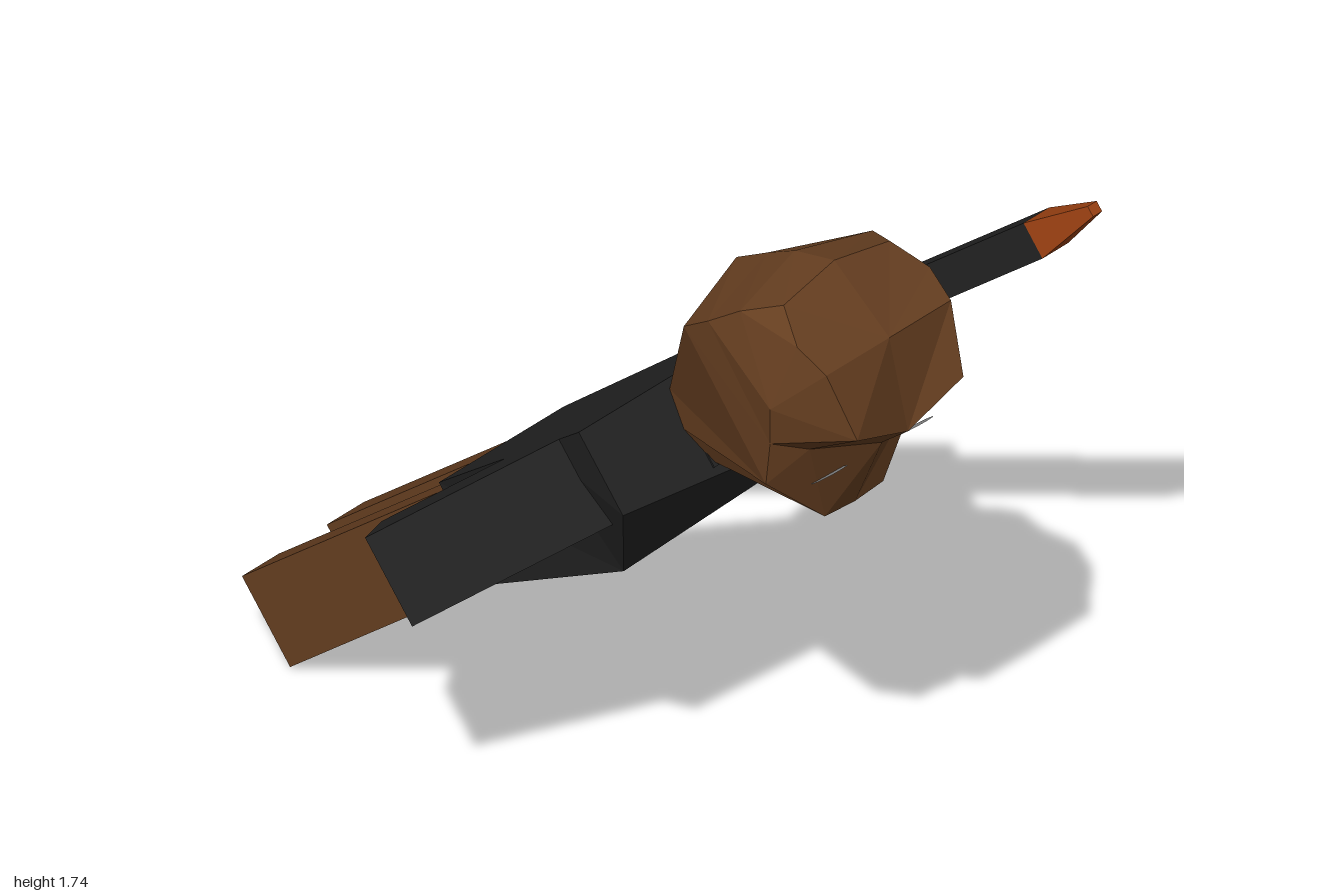
import * as THREE from 'three';

const paint = (color) => new THREE.MeshStandardMaterial({ color, flatShading: true });
const skin = paint(0x653e20);
const cloth = paint(0x222222);
const ember = paint(0x9c4112);
const eyeGrey = paint(0x8c8c8c);
const pupilBlue = paint(0x10107a);

// Faceted solid through matching rings (counter-clockwise seen from the last ring)
function loft(name, rings, material) {
  const pos = [];
  const tri = (a, b, c) => pos.push(...a, ...b, ...c);
  const n = rings[0].length;
  for (let i = 0; i < rings.length - 1; i++) {
    for (let j = 0; j < n; j++) {
      const k = (j + 1) % n;
      tri(rings[i][j], rings[i][k], rings[i + 1][k]);
      tri(rings[i][j], rings[i + 1][k], rings[i + 1][j]);
    }
  }
  const first = rings[0], last = rings[rings.length - 1];
  for (let j = 1; j < n - 1; j++) {
    tri(first[0], first[j + 1], first[j]);
    tri(last[0], last[j], last[j + 1]);
  }
  const geo = new THREE.BufferGeometry();
  geo.setAttribute('position', new THREE.Float32BufferAttribute(pos, 3));
  geo.computeVertexNormals();
  const mesh = new THREE.Mesh(geo, material);
  mesh.name = name;
  return mesh;
}

// Box given by its minimum and maximum corners
function box(name, [x0, y0, z0], [x1, y1, z1], material) {
  const mesh = new THREE.Mesh(new THREE.BoxGeometry(x1 - x0, y1 - y0, z1 - z0), material);
  mesh.position.set((x0 + x1) / 2, (y0 + y1) / 2, (z0 + z1) / 2);
  mesh.name = name;
  return mesh;
}

// Square ring at one height
const rect = (x0, x1, y, z0, z1) => [[x0, y, z1], [x1, y, z1], [x1, y, z0], [x0, y, z0]];

// Mirrors half a head ring: front centre, front, side, back, back centre
const headX = -0.055;
function headRing(half) {
  const inner = half.slice(1, -1);
  return [...half, ...inner.reverse().map(([x, y, z]) => [-x, y, z])]
    .map(([x, y, z]) => [x + headX, y, z]);
}

// Box-like limb: the end section is shifted back to make the root
function arm(name, end, shift) {
  const root = end.map((p) => p.map((c, i) => c + shift[i]));
  return loft(name, [root, end], cloth);
}

function eye(name, x, y) {
  const group = new THREE.Group();
  group.name = name;
  const white = new THREE.Mesh(new THREE.CircleGeometry(0.052, 12), eyeGrey);
  white.material.side = THREE.DoubleSide;
  white.name = 'eyeball';
  const pupil = new THREE.Mesh(new THREE.CircleGeometry(0.027, 10), pupilBlue);
  pupil.name = 'pupil';
  pupil.position.set(0, -0.008, 0.004);
  group.add(white, pupil);
  group.position.set(x, y, -0.425);
  return group;
}

export function createModel() {
  const model = new THREE.Group();
  model.name = 'figure';

  // Everything is built upright, then the whole figure leans forward
  const body = new THREE.Group();
  body.name = 'leaningBody';
  body.rotation.x = 0.902;
  model.add(body);

  // Legs
  body.add(box('rightLeg', [-0.285, -0.66, -0.777], [-0.145, 0.25, -0.521], skin));
  body.add(box('leftLeg', [0.035, -0.66, -0.777], [0.175, 0.25, -0.521], skin));

  // Torso, wider at the shoulders, with one bulge on the front
  body.add(loft('torso', [
    rect(-0.29, 0.18, 0.19, -0.8, -0.513),
    [[-0.38, 0.77, -0.425], [0.31, 0.77, -0.486], [0.31, 0.77, -0.8], [-0.43, 0.77, -0.8]],
    [[-0.49, 1.0, -0.565], [0.365, 1.0, -0.472], [0.365, 1.0, -0.8], [-0.49, 1.0, -0.8]],
  ], cloth));
  body.add(box('collar', [-0.16, 0.95, -0.74], [0.03, 1.005, -0.55], cloth));

  // Arms
  body.add(arm('rightArm', [
    [-0.59, 0.285, -0.8], [-0.59, 0.285, -0.55], [-0.79, 0.437, -0.55], [-0.79, 0.437, -0.8],
  ], [0.36, 0.485, 0]));
  body.add(arm('leftArm', [
    [0.67, 0.55, -0.567], [0.66, 0.59, -0.86], [0.74, 0.785, -0.8], [0.74, 0.745, -0.51],
  ], [-0.48, 0.144, 0.01]));

  // Head: neck, chin, eye line, brow, crown
  body.add(loft('head', [
    [[0, 1.0, -0.565], [0.095, 1.0, -0.565], [0.13, 1.0, -0.67], [0.11, 1.0, -0.775], [0, 1.0, -0.785]],
    [[0, 1.3, -0.324], [0.11, 1.3, -0.33], [0.28, 1.36, -0.48], [0.25, 1.33, -0.92], [0, 1.336, -1.0]],
    [[0.02, 1.474, -0.43], [0.21, 1.49, -0.51], [0.29, 1.46, -0.57], [0.265, 1.44, -0.91], [0, 1.45, -0.98]],
    [[0.02, 1.583, -0.43], [0.2, 1.656, -0.481], [0.305, 1.54, -0.65], [0.25, 1.55, -0.9], [0, 1.547, -0.958]],
    [[0, 1.713, -0.665], [0.235, 1.71, -0.665], [0.25, 1.68, -0.76], [0.2, 1.65, -0.865], [0, 1.665, -0.897]],
  ].map(headRing), skin));

  // Eyes
  body.add(eye('rightEye', -0.197, 1.43));
  body.add(eye('leftEye', 0.058, 1.505));

  // Staff with a tapered tip
  body.add(box('staffShaft', [0.688, -0.204, -0.715], [0.785, 1.489, -0.615], cloth));
  body.add(loft('staffTip', [
    rect(0.688, 0.785, 1.489, -0.715, -0.615),
    rect(0.72, 0.754, 1.7, -0.687, -0.658),
  ], ember));

  return model;
}
